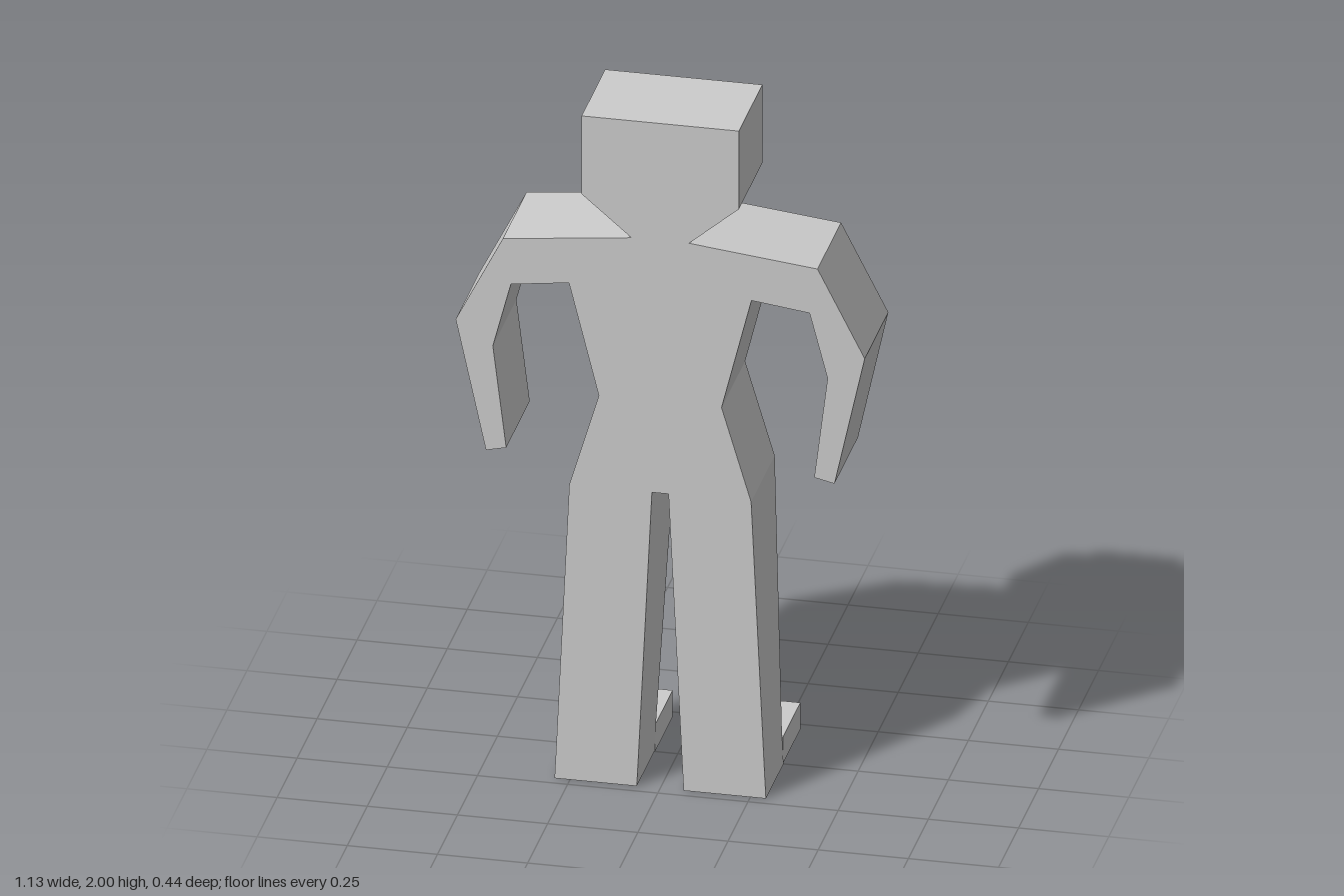
import * as THREE from 'three';

const FRONT = 0.22, BACK = -0.075;
const HIP_Y = 0.888, FOOT_Y = 0.08;

const material = new THREE.MeshStandardMaterial({ color: 0xcccccc, flatShading: true });

function addMesh(parent, name, geometry) {
  const mesh = new THREE.Mesh(geometry, material);
  mesh.name = name;
  parent.add(mesh);
  return mesh;
}

// Extrudes a front outline through the full thickness of the figure
function slab(points) {
  const shape = new THREE.Shape(points.map(([x, y]) => new THREE.Vector2(x, y)));
  const geometry = new THREE.ExtrudeGeometry(shape, { depth: FRONT - BACK, bevelEnabled: false });
  return geometry.translate(0, 0, BACK);
}

// Box given by its minimum and maximum corners
function block(x0, x1, y0, y1, z0, z1) {
  return new THREE.BoxGeometry(x1 - x0, y1 - y0, z1 - z0)
    .translate((x0 + x1) / 2, (y0 + y1) / 2, (z0 + z1) / 2);
}

export function createModel() {
  const model = new THREE.Group();
  model.name = 'figure';

  // Head, torso and arms: one half of the outline, mirrored
  const half = [
    [0.218, 2], [0.218, 1.765], [0.08, 1.648], // head and neck
    [0.436, 1.608], [0.567, 1.352], [0.483, 0.967], // outer arm
    [0.427, 0.98], [0.464, 1.282], [0.414, 1.473], // inner arm
    [0.253, 1.494], [0.17, 1.163], [0.252, HIP_Y], // side and hip
  ];
  const mirrored = half.map(([x, y]) => [-x, y]).reverse();
  addMesh(model, 'upperBody', slab([...half, ...mirrored]));

  for (const side of [1, -1]) {
    const name = side > 0 ? 'left' : 'right';

    // Leg: the back tapers forward down to the ankle
    const outline = [
      [0.252, HIP_Y], [0.289, FOOT_Y], [0.293, 0],
      [0.065, 0], [0.061, FOOT_Y], [0.023, HIP_Y],
    ].map(([x, y]) => [x * side, y]);
    const leg = slab(outline);
    const p = leg.attributes.position;
    for (let i = 0; i < p.count; i++) {
      if (p.getZ(i) < 0 && p.getY(i) < HIP_Y - 0.01) p.setZ(i, 0);
    }
    leg.computeVertexNormals();
    addMesh(model, name + 'Leg', leg);

    // Foot
    const [x0, x1] = side > 0 ? [0.063, 0.291] : [-0.291, -0.063];
    addMesh(model, name + 'Foot', block(x0, x1, 0, FOOT_Y, -FRONT, 0));
  }

  // Ridges on the face
  addMesh(model, 'browRidge', block(-0.115, 0.115, 1.92, 1.955, -0.137, BACK));
  addMesh(model, 'mouthRidge', block(-0.139, 0.139, 1.8, 1.837, -0.163, BACK));

  return model;
}
